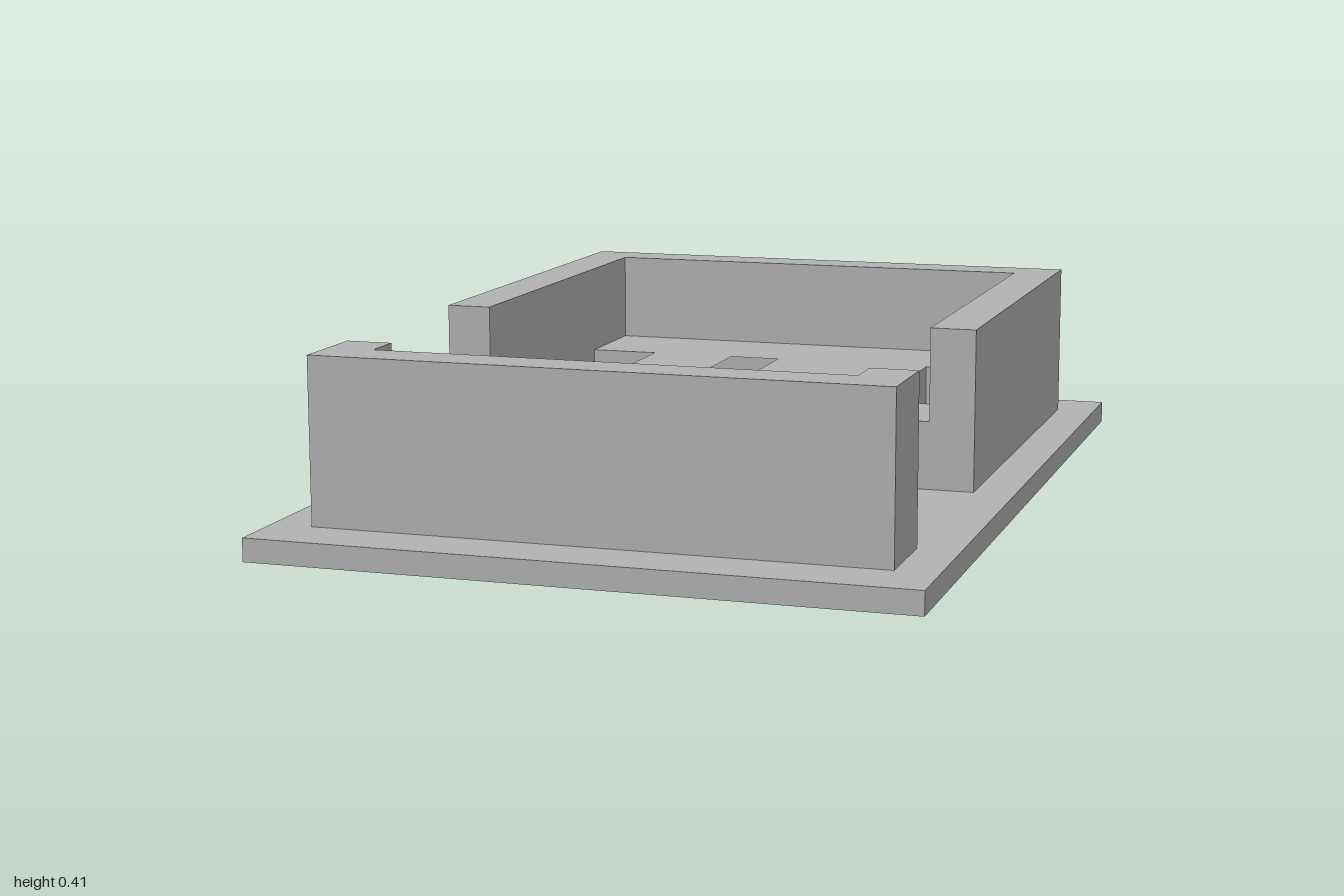
import * as THREE from 'three';

export function createModel() {
  const model = new THREE.Group();
  const grey = new THREE.MeshStandardMaterial({ color: 0xb2b2b2 });
  grey.name = 'plain grey';

  // Plan outlines are [x, z] points, raised from y0 to y1
  const toPoints = (plan) => plan.map(([x, z]) => new THREE.Vector2(x, -z));
  function addSlab(name, plan, y0, y1, holes = []) {
    const shape = new THREE.Shape(toPoints(plan));
    holes.forEach((hole) => shape.holes.push(new THREE.Path(toPoints(hole))));
    const geometry = new THREE.ExtrudeGeometry(shape, { depth: y1 - y0, bevelEnabled: false });
    geometry.rotateX(-Math.PI / 2).translate(0, y0, 0);
    const mesh = new THREE.Mesh(geometry, grey);
    mesh.name = name;
    model.add(mesh);
  }
  const rect = (x0, x1, z0, z1) => [[x0, z0], [x1, z0], [x1, z1], [x0, z1]];

  const base = 0.05, floor = 0.2, top = 0.405;
  const outer = 0.61, inner = 0.51;

  addSlab('basePlate', rect(-0.7, 0.7, -1, 1), 0, base);

  // U-shaped wall around the back, open to the front
  addSlab('backWall', [
    [-outer, 0.15], [-outer, -0.87], [outer, -0.87], [outer, 0.15],
    [inner, 0.15], [inner, -0.77], [-inner, -0.77], [-inner, 0.15],
  ], base, top);

  // Front wall with short returns at its ends
  addSlab('frontWall', [
    [-outer, 0.68], [-outer, 0.87], [outer, 0.87], [outer, 0.68],
    [inner, 0.68], [inner, 0.77], [-inner, 0.77], [-inner, 0.68],
  ], base, top);

  // Raised floor: room with side notches, narrow neck, ledge at the front wall
  const ledge = 0.505, neck = 0.15;
  addSlab('raisedFloor', [
    [-inner, -0.77], [inner, -0.77],
    [inner, -0.535], [0.345, -0.535], [0.345, -0.055], [inner, -0.055],
    [inner, 0.15], [neck, 0.15], [neck, 0.68], [ledge, 0.68], [ledge, 0.77],
    [-ledge, 0.77], [-ledge, 0.68], [-neck, 0.68], [-neck, 0.15], [-inner, 0.15],
    [-inner, -0.055], [-0.35, -0.055], [-0.35, -0.535], [-inner, -0.535],
  ], base, floor, [rect(-0.15, -0.03, -0.535, -0.055)]);

  return model;
}
